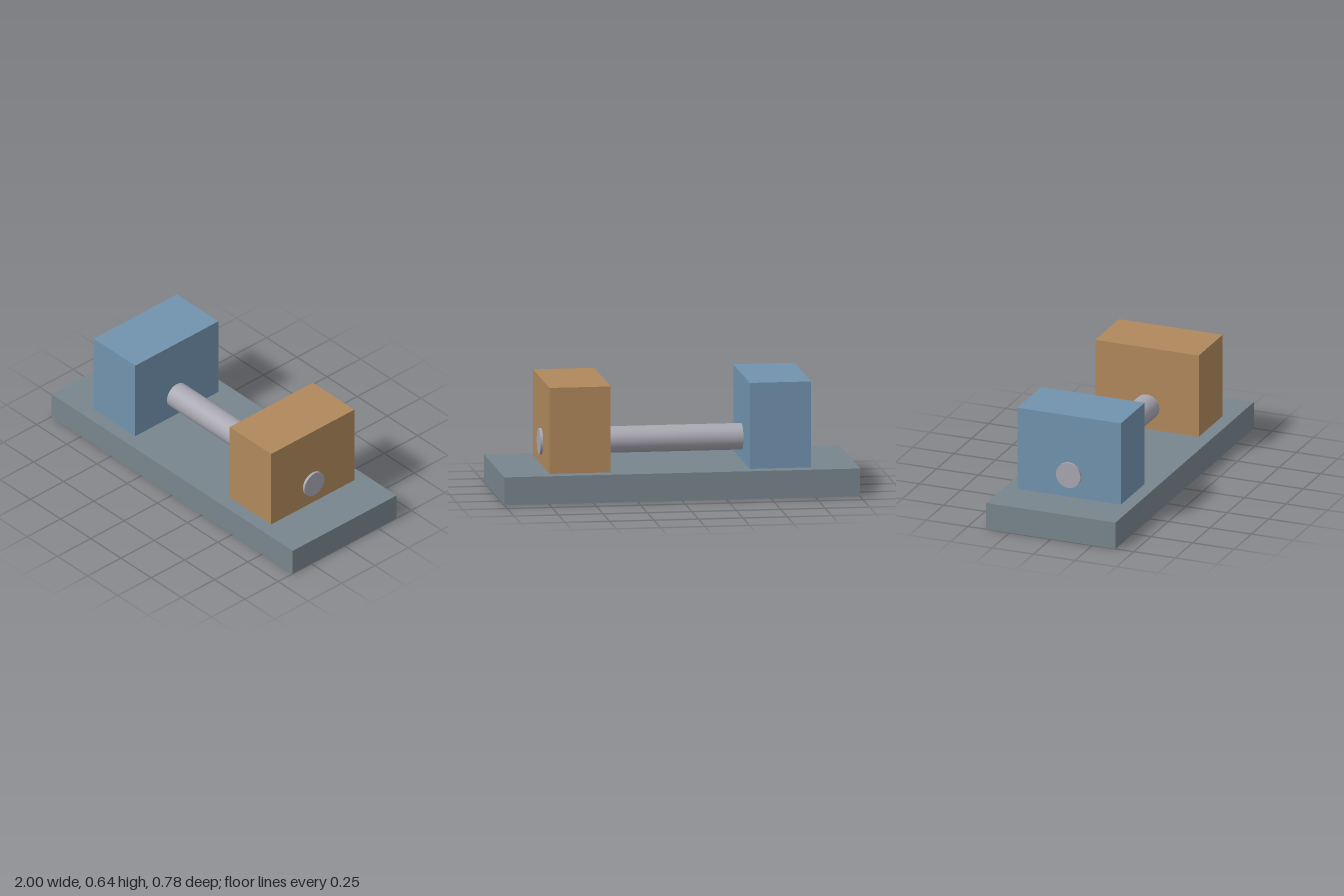
import * as THREE from 'three';

export function createModel() {
  const model = new THREE.Group();
  model.name = 'shaftStand';

  const material = (name, color) => {
    const m = new THREE.MeshStandardMaterial({ color });
    m.name = name;
    return m;
  };
  const slate = material('slate grey', 0x78858d);
  const blue = material('steel blue', 0x7193ae);
  const tan = material('tan brown', 0xb0885c);
  const silver = material('silver', 0xa8a6b0);

  const add = (name, geometry, mat, x, y) => {
    const mesh = new THREE.Mesh(geometry, mat);
    mesh.name = name;
    mesh.position.set(x, y, 0);
    model.add(mesh);
    return mesh;
  };

  // Flat base plate
  const baseHeight = 0.157;
  add('basePlate', new THREE.BoxGeometry(2, baseHeight, 0.78), slate, 0, baseHeight / 2);

  // Two matching support blocks standing on the plate
  const blockHeight = 0.485;
  const block = new THREE.BoxGeometry(0.344, blockHeight, 0.624);
  const blockY = baseHeight + blockHeight / 2;
  add('leftBlock', block, tan, 0.563, blockY);
  add('rightBlock', block, blue, -0.563, blockY);

  // Round shaft through both blocks, its ends standing slightly proud
  const shaft = new THREE.CylinderGeometry(0.074, 0.074, 1.5, 48).rotateZ(Math.PI / 2);
  add('shaft', shaft, silver, 0, 0.289);

  return model;
}
